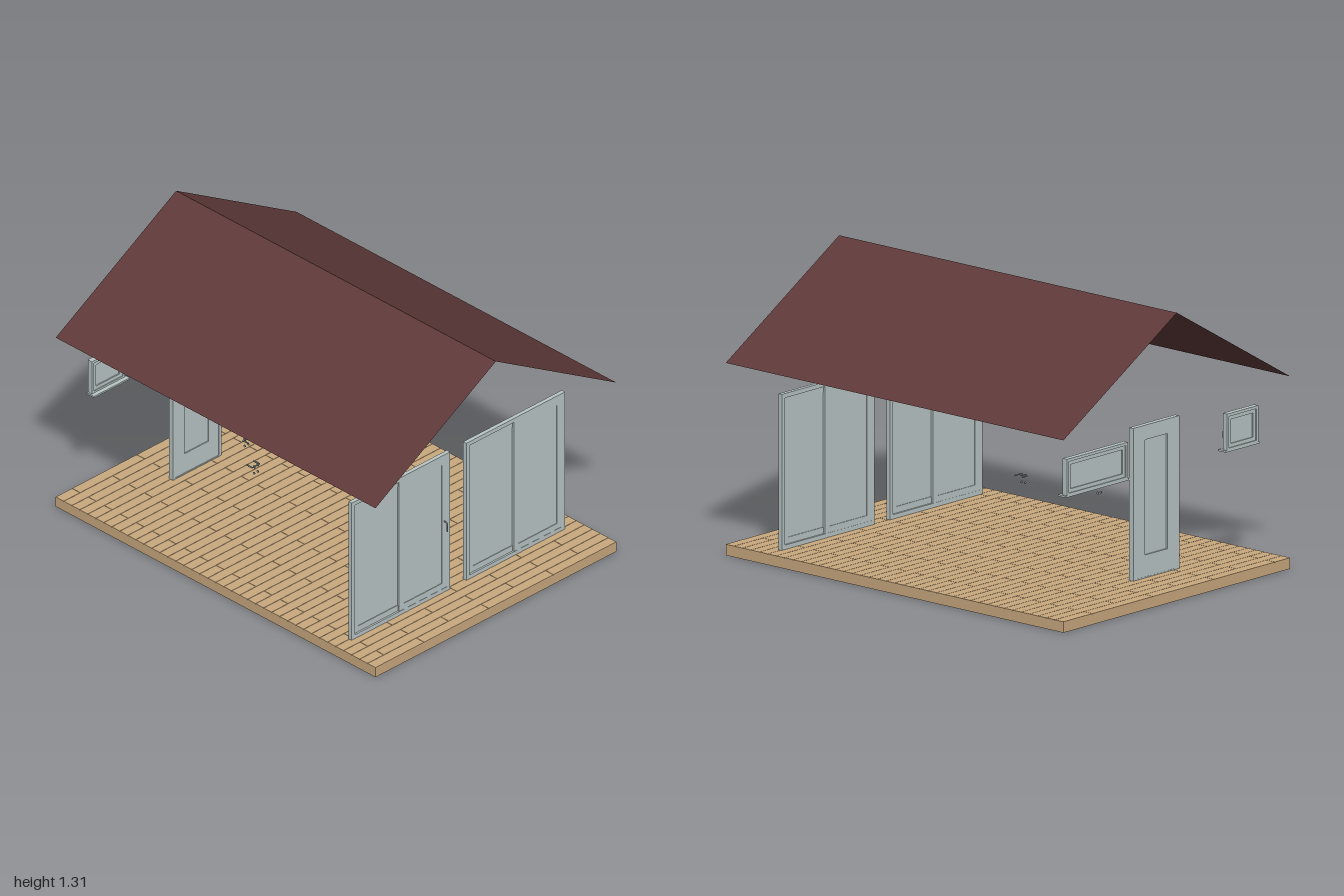
import * as THREE from 'three';

const material = (name, color, extra = {}) => {
  const m = new THREE.MeshStandardMaterial({ color, ...extra });
  m.name = name;
  return m;
};

export function createModel() {
  const model = new THREE.Group();
  model.name = 'cabin';
  const wood = material('deck wood', 0xc8a87e);
  const roofing = material('roof maroon', 0x5f3a39, { side: THREE.DoubleSide });
  const joinery = material('joinery grey', 0xb9c5c5);
  const metal = material('handle grey', 0x8c9696);

  const group = (name, x = 0, y = 0, z = 0, parent = model) => {
    const g = new THREE.Group();
    g.name = name;
    g.position.set(x, y, z);
    parent.add(g);
    return g;
  };
  // Box given by its minimum and maximum corners
  const box = (parent, name, mat, x0, x1, y0, y1, z0, z1) => {
    const mesh = new THREE.Mesh(new THREE.BoxGeometry(x1 - x0, y1 - y0, z1 - z0), mat);
    mesh.position.set((x0 + x1) / 2, (y0 + y1) / 2, (z0 + z1) / 2);
    mesh.name = name;
    parent.add(mesh);
    return mesh;
  };
  // Rectangular surround with one opening
  const surround = (parent, name, x0, x1, y0, y1, z0, z1, side, bottom = side, top = side) => {
    const rect = (C, a, b, c, d) => {
      const p = new C();
      p.moveTo(a, c); p.lineTo(b, c); p.lineTo(b, d); p.lineTo(a, d); p.closePath();
      return p;
    };
    const shape = rect(THREE.Shape, x0, x1, y0, y1);
    shape.holes.push(rect(THREE.Path, x0 + side, x1 - side, y0 + bottom, y1 - top));
    const mesh = new THREE.Mesh(
      new THREE.ExtrudeGeometry(shape, { depth: z1 - z0, bevelEnabled: false }), joinery);
    mesh.position.z = z0;
    mesh.name = name;
    parent.add(mesh);
  };
  const rod = (parent, name, points, radius) => {
    const path = new THREE.CatmullRomCurve3(points.map(p => new THREE.Vector3(...p)), false, 'catmullrom', 0.2);
    const mesh = new THREE.Mesh(new THREE.TubeGeometry(path, 10, radius, 8), metal);
    mesh.name = name;
    parent.add(mesh);
  };
  const disc = (parent, name, x, y, z, radius, depth) => {
    const mesh = new THREE.Mesh(new THREE.CylinderGeometry(radius, radius, depth, 16), metal);
    mesh.rotation.x = Math.PI / 2;
    mesh.position.set(x, y, z);
    mesh.name = name;
    parent.add(mesh);
  };

  // Deck: slab with staggered boards running across
  box(model, 'deckSlab', wood, -0.745, 0.745, 0.25, 0.297, -1, 1);
  const deck = group('deckBoards');
  const rows = 40, depth = 2 / rows, gap = 0.002;
  for (let r = 0; r < rows; r++) {
    const z = -1 + r * depth;
    const joints = [-0.745];
    for (let x = -0.745 + 0.1 * (1 + (r * 2) % 4); x < 0.74; x += 0.4) joints.push(x);
    joints.push(0.745);
    for (let i = 0; i + 1 < joints.length; i++) {
      box(deck, 'deckBoard', wood, joints[i] + (i ? gap : 0),
        joints[i + 1], 0.296, 0.3, z + (r ? gap : 0), z + depth);
    }
  }

  // Roof: two thin sloping sheets
  const slope = Math.hypot(0.745, 0.435), pitch = Math.atan2(0.435, 0.745);
  for (const s of [-1, 1]) {
    const geo = new THREE.PlaneGeometry(slope, 2).rotateX(-Math.PI / 2);
    const sheet = new THREE.Mesh(geo, roofing);
    sheet.rotation.z = -s * pitch;
    sheet.position.set(s * 0.3725, 1.3425, 0);
    sheet.name = s > 0 ? 'leftRoofSlope' : 'rightRoofSlope';
    model.add(sheet);
  }

  // Front sliding doors: outer frame and two staggered sashes
  const slidingDoor = (name, x) => {
    const g = group(name, x, 0.3, 0.755);
    surround(g, 'doorFrame', -0.305, 0.305, 0, 0.71, -0.01, 0.01, 0.02);
    for (const s of [-1, 1]) {
      const x0 = s < 0 ? -0.286 : -0.01, x1 = s < 0 ? 0.02 : 0.286;
      const z = s < 0 ? -0.004 : 0.004;
      surround(g, 'slidingSash', x0, x1, 0.019, 0.691, z - 0.005, z + 0.005, 0.03);
      box(g, 'glassPane', joinery, x0 + 0.028, x1 - 0.028, 0.047, 0.663, z - 0.002, z + 0.002);
    }
    return g;
  };
  const rightDoor = slidingDoor('rightSlidingDoor', -0.355);
  slidingDoor('leftSlidingDoor', 0.355);
  rod(rightDoor, 'pullHandle',
    [[0.27, 0.365, 0.005], [0.27, 0.365, 0.022], [0.27, 0.355, 0.028], [0.27, 0.32, 0.028]], 0.0035);

  // Back door: frame, leaf and recessed panel
  const back = group('backDoor', -0.1315, 0.3, -0.7475);
  surround(back, 'doorFrame', -0.1515, 0.1515, 0, 0.695, -0.0125, 0.0125, 0.018, 0.005, 0.018);
  surround(back, 'doorLeaf', -0.134, 0.134, 0.004, 0.678, -0.0115, 0.009, 0.06, 0.1, 0.05);
  box(back, 'doorPanel', joinery, -0.076, 0.076, 0.102, 0.63, -0.004, 0.004);

  // Back windows: frame, sash, pane, inner sill and handle
  const backWindow = (name, x, width) => {
    const g = group(name, x, 0.83, -0.9);
    const w = width / 2;
    surround(g, 'windowFrame', -w, w, 0, 0.17, -0.013, 0.013, 0.013);
    surround(g, 'windowSash', -w + 0.012, w - 0.012, 0.012, 0.158, -0.008, 0.009, 0.018);
    box(g, 'glassPane', joinery, -w + 0.029, w - 0.029, 0.029, 0.141, -0.003, 0.003);
    box(g, 'windowSill', joinery, -w - 0.008, w + 0.008, -0.004, 0.004, -0.013, 0.034);
    rod(g, 'windowHandle',
      [[w - 0.02, 0.09, 0.006], [w - 0.02, 0.09, 0.022], [w - 0.02, 0.083, 0.028], [w - 0.02, 0.05, 0.028]], 0.003);
  };
  backWindow('wideBackWindow', 0.425, 0.4);
  backWindow('smallBackWindow', -0.53, 0.205);

  // Inner lever handles, each a pair on one spindle with key plates below
  const leverSet = (name, x, z, turn) => {
    const g = group(name, x, 0.63, z);
    g.rotation.y = turn;
    rod(g, 'spindle', [[0, 0, -0.022], [0, 0, 0.022]], 0.003);
    for (const s of [-1, 1]) {
      disc(g, 'rosette', 0, 0, s * 0.011, 0.007, 0.003);
      disc(g, 'keyPlate', 0, -0.033, s * 0.011, 0.006, 0.003);
      rod(g, 'lever', [[0, 0, s * 0.022], [0.01, 0, s * 0.023], [0.037, 0, s * 0.022]], 0.0035);
    }
  };
  leverSet('middleLeverHandles', -0.09, -0.01, 0);
  leverSet('rightLeverHandles', -0.31, -0.187, Math.PI / 2);
  leverSet('rearLeverHandles', -0.18, -0.378, -Math.PI / 2);

  return model;
}
